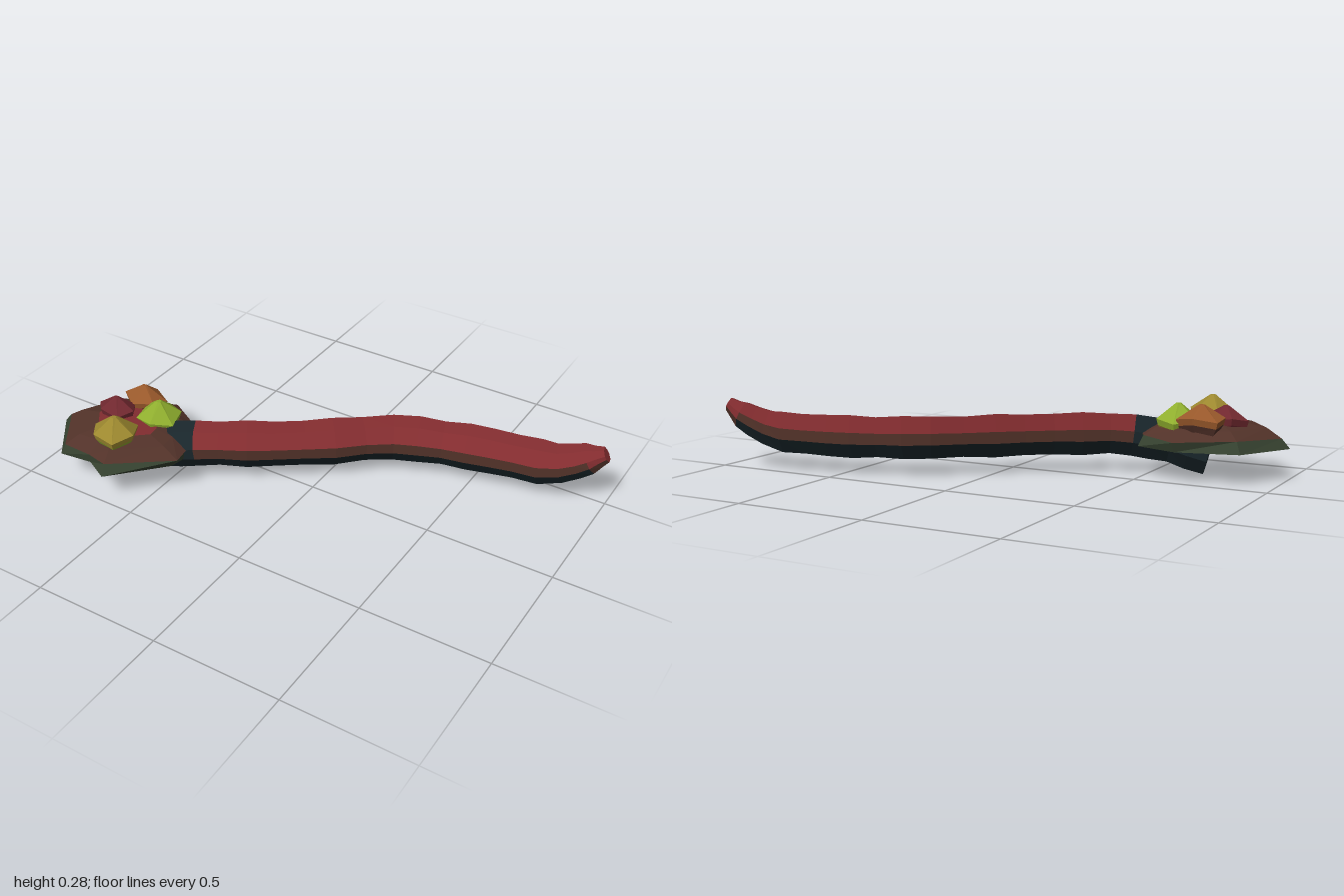
import * as THREE from 'three';

const material = (name, color) => {
  const m = new THREE.MeshStandardMaterial({ color, flatShading: true });
  m.name = name;
  return m;
};

// Joins cross-section rings with flat faces, closes both ends, one mesh per colour.
function loft(name, rings, colorOf, startMat, endMat) {
  const buckets = new Map();
  const add = (mat, ...corners) => {
    if (!buckets.has(mat)) buckets.set(mat, []);
    buckets.get(mat).push(...corners);
  };
  const n = rings[0].length;
  for (let i = 0; i < rings.length - 1; i++) {
    for (let j = 0; j < n; j++) {
      const k = (j + 1) % n;
      const [a, b, c, d] = [rings[i][j], rings[i][k], rings[i + 1][k], rings[i + 1][j]];
      add(colorOf(i, j), a, b, c, a, c, d);
    }
  }
  const middle = (ring) => ring.reduce((s, p) => s.add(p), new THREE.Vector3()).divideScalar(n);
  const first = rings[0], last = rings[rings.length - 1];
  const m0 = middle(first), m1 = middle(last);
  for (let j = 0; j < n; j++) {
    const k = (j + 1) % n;
    add(startMat, m0, first[k], first[j]);
    add(endMat, m1, last[j], last[k]);
  }
  const group = new THREE.Group();
  group.name = name;
  for (const [mat, corners] of buckets) {
    const geo = new THREE.BufferGeometry().setFromPoints(corners);
    geo.computeVertexNormals();
    const mesh = new THREE.Mesh(geo, mat);
    mesh.name = `${name} ${mat.name}`;
    group.add(mesh);
  }
  return group;
}

export function createModel() {
  const red = material('dark red', 0x822c2f);
  const brown = material('brown', 0x523229);
  const navy = material('dark navy', 0x19262b);
  const green = material('dark green', 0x364230);
  const yellow = material('olive yellow', 0x9c882f);
  const lime = material('lime', 0x8fae2e);
  const orange = material('rust orange', 0x99592b);
  const maroon = material('maroon', 0x70282f);

  const model = new THREE.Group();
  model.name = 'model';

  // Long curved stem: centre line, then a faceted section swept along it
  const path = new THREE.CatmullRomCurve3([
    [-0.7, 0.078, 0.25], [-0.55, 0.12, 0.21], [-0.4, 0.145, 0.15], [-0.2, 0.147, 0.035],
    [0, 0.146, -0.11], [0.2, 0.146, -0.27], [0.4, 0.143, -0.35], [0.6, 0.143, -0.4],
    [0.8, 0.152, -0.432], [0.92, 0.2, -0.464], [0.985, 0.24, -0.474],
  ].map((p) => new THREE.Vector3(...p)));
  const section = [
    [-0.045, 0.079], [0.018, 0.066], [0.066, 0.018], [0.066, -0.025],
    [0.03, -0.08], [-0.03, -0.08], [-0.066, -0.025], [-0.066, 0.018],
  ];
  const sideColors = [red, red, brown, navy, navy, navy, brown, red];
  const tipColors = [red, red, red, brown, brown, brown, red, red];
  const stemRings = [];
  const steps = 22;
  for (let i = 0; i <= steps; i++) {
    const t = i / steps;
    const p = path.getPoint(t);
    const along = path.getTangent(t);
    const side = along.clone().cross(new THREE.Vector3(0, 1, 0)).normalize();
    const up = side.clone().cross(along);
    const taper = t < 0.72 ? 1 : 1 - 0.66 * ((t - 0.72) / 0.28) ** 1.6;
    const size = taper * (1 + 0.045 * Math.sin(i * 2.3));
    stemRings.push(section.map(([s, u]) =>
      p.clone().addScaledVector(side, s * size).addScaledVector(up, u * size)));
  }
  const stemColor = (i, j) => (i < 4 ? navy : i >= steps - 2 ? tipColors[j] : sideColors[j]);
  model.add(loft('stem', stemRings, stemColor, navy, red));

  // Flat irregular cap: x, z, spread of the lower and upper edge, height of the upper edge
  const rim = [
    [-0.86, 0.46, 1, 0.93, 0.153], [-0.73, 0.45, 0.97, 0.98, 0.15], [-0.63, 0.495, 1, 0.9, 0.155],
    [-0.41, 0.31, 0.86, 1, 0.16], [-0.42, 0.22, 0.95, 0.97, 0.155], [-0.49, 0.06, 1, 0.92, 0.155],
    [-0.65, -0.01, 0.95, 1, 0.15], [-0.88, 0.06, 1, 0.9, 0.158], [-1, 0.27, 1, 0.9, 0.15],
  ];
  const capRing = (scale, height) => rim.map((r) => new THREE.Vector3(
    -0.69 + (r[0] + 0.69) * scale(r), height(r), 0.24 + (r[1] - 0.24) * scale(r)));
  const capRings = [
    capRing((r) => r[2], () => 0.114),
    capRing((r) => r[3], (r) => r[4]),
    capRing(() => 0.72, () => 0.187),
    capRing(() => 0.45, () => 0.202),
  ];
  model.add(loft('cap', capRings, (i) => (i === 0 ? green : brown), green, red));

  // Pointed faceted lumps on the cap: position, half sizes, peak height, top and lower colours
  const lumps = [
    ['yellow lump', -0.675, 0.225, 0.345, 0.095, 0.09, 0.06, yellow, lime],
    ['lime lump', -0.61, 0.21, 0.152, 0.09, 0.09, 0.062, lime, yellow],
    ['orange lump', -0.72, 0.228, 0.1, 0.095, 0.064, 0.052, orange, brown],
    ['maroon lump', -0.775, 0.22, 0.208, 0.085, 0.066, 0.047, maroon, maroon],
  ];
  const levels = [[0.74, -0.05], [0.92, -0.024], [1, 0], [0.12, 1]];
  lumps.forEach(([name, x, y, z, rx, rz, peak, top, under], index) => {
    const rings = levels.map(([spread, level]) => Array.from({ length: 6 }, (_, j) => {
      const angle = (j * Math.PI) / 3 + index * 0.7;
      const r = spread * (j % 2 ? 1.02 : 0.94);
      const height = level === 1 ? peak : level + (j % 2 ? -0.006 : 0.006);
      return new THREE.Vector3(x + Math.cos(angle) * rx * r, y + height, z - Math.sin(angle) * rz * r);
    }));
    model.add(loft(name, rings, (i) => (i === 0 ? under : top), under, top));
  });
  return model;
}
